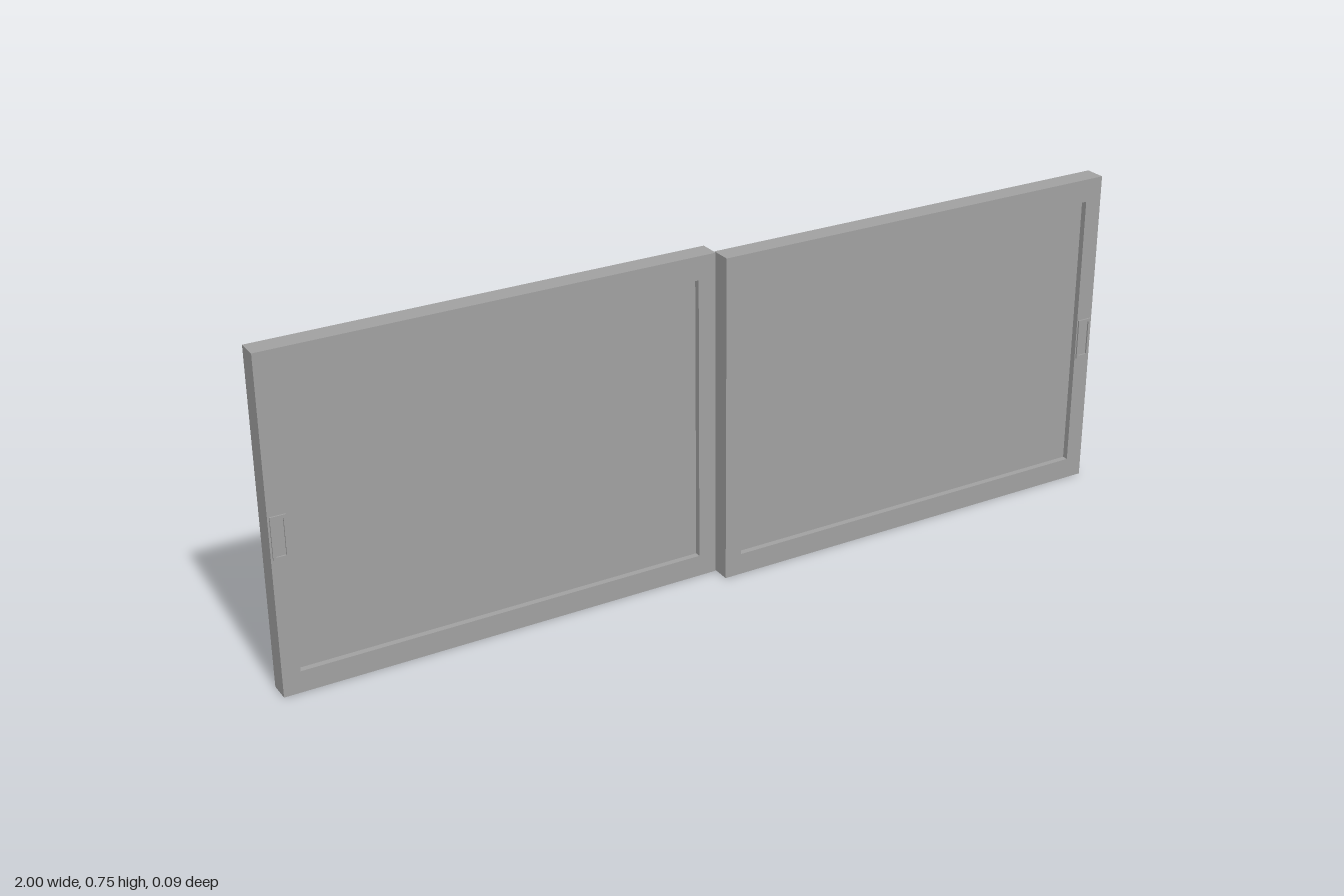
import * as THREE from 'three';

const HEIGHT = 0.75, DEPTH = 0.048;

// Flat rectangular ring, extruded along +z
function ringGeometry(x0, x1, y0, y1, hx0, hx1, hy0, hy1, depth) {
  const rect = (p, a, b, c, d) => {
    p.moveTo(a, c); p.lineTo(b, c); p.lineTo(b, d); p.lineTo(a, d); p.closePath();
    return p;
  };
  const shape = rect(new THREE.Shape(), x0, x1, y0, y1);
  shape.holes.push(rect(new THREE.Path(), hx0, hx1, hy0, hy1));
  return new THREE.ExtrudeGeometry(shape, { depth, bevelEnabled: false });
}

export function createModel() {
  const grey = new THREE.MeshStandardMaterial({ color: 0xa0a0a0 });
  grey.name = 'grey';
  const model = new THREE.Group();
  model.name = 'slidingWindow';

  const add = (parent, name, geometry, x = 0, y = 0, z = 0) => {
    const mesh = new THREE.Mesh(geometry, grey);
    mesh.name = name;
    mesh.position.set(x, y, z);
    parent.add(mesh);
  };

  // One sash: frame, pane recessed on both faces, and a finger pull on each face
  function addSash(name, x0, x1, zMid, pullX) {
    const sash = new THREE.Group();
    sash.name = name;
    sash.position.z = zMid;
    const a = x0 + 0.039, b = x1 - 0.041, c = 0.049, d = 0.697;
    add(sash, 'frame', ringGeometry(x0, x1, 0, HEIGHT, a, b, c, d, DEPTH), 0, 0, -DEPTH / 2);
    add(sash, 'pane', new THREE.BoxGeometry(b - a, d - c, 0.02), (a + b) / 2, (c + d) / 2, 0);
    for (const side of [1, -1]) {
      const rim = ringGeometry(-0.017, 0.017, -0.0475, 0.0475, -0.011, 0.011, -0.041, 0.041, 0.0035);
      add(sash, 'fingerPull', rim, pullX, 0.358, side > 0 ? DEPTH / 2 : -DEPTH / 2 - 0.0035);
    }
    model.add(sash);
  }

  // Rear sash at -x, front sash at +x
  addSash('rearSash', -1, 0.006, -0.02, -0.979);
  addSash('frontSash', 0.008, 1, 0.02, 0.979);
  return model;
}
